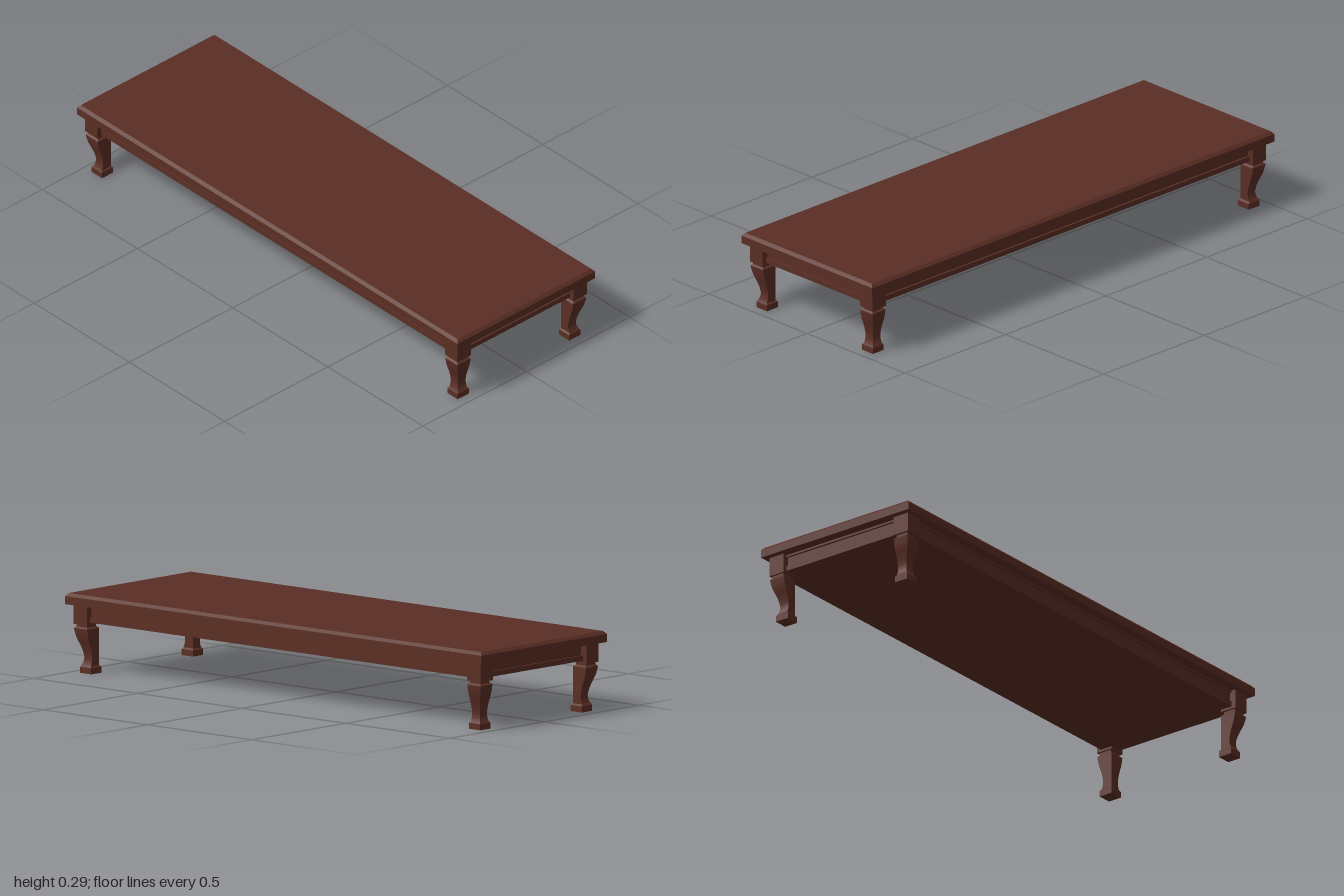
import * as THREE from 'three';
import { toCreasedNormals } from 'three/addons/utils/BufferGeometryUtils.js';

// Stack of square sections [inner, outer, y]; the square spans inner..outer in both x and z.
function squareLoft(sections) {
  const pos = [], index = [];
  for (const [a, b, y] of sections) pos.push(a, y, a, a, y, b, b, y, b, b, y, a);
  const n = sections.length;
  for (let i = 0; i < n - 1; i++) {
    for (let k = 0; k < 4; k++) {
      const p = i * 4 + k, q = i * 4 + (k + 1) % 4;
      index.push(p, q, q + 4, p, q + 4, p + 4);
    }
  }
  const t = (n - 1) * 4;
  index.push(0, 2, 1, 0, 3, 2, t, t + 1, t + 2, t, t + 2, t + 3);
  const g = new THREE.BufferGeometry();
  g.setAttribute('position', new THREE.Float32BufferAttribute(pos, 3));
  g.setIndex(index);
  return toCreasedNormals(g, 0.4);
}

// Box with chamfered top edges
function chamferedSlab(hx, hz, y0, y1, y2, inset) {
  const g = new THREE.BoxGeometry(2, 1, 2, 1, 2, 1);
  const p = g.attributes.position;
  for (let i = 0; i < p.count; i++) {
    const y = p.getY(i), d = y > 0.25 ? inset : 0;
    p.setXYZ(i, p.getX(i) * (hx - d), y > 0.25 ? y2 : y < -0.25 ? y0 : y1, p.getZ(i) * (hz - d));
  }
  return toCreasedNormals(g, 0.4);
}

export function createModel() {
  const model = new THREE.Group();
  model.name = 'lowTable';
  const wood = new THREE.MeshStandardMaterial({ color: 0x5a2e24 });
  wood.name = 'darkWood';
  const add = (parent, name, geometry) => {
    const m = new THREE.Mesh(geometry, wood);
    m.name = name;
    parent.add(m);
    return m;
  };

  // Table top
  add(model, 'tableTop', chamferedSlab(1, 0.333, 0.248, 0.277, 0.288, 0.01));

  // Apron: moulding, recessed panel and lower bead, closed underneath
  const apron = new THREE.Group();
  apron.name = 'apron';
  model.add(apron);
  for (const [name, half, y0, y1] of [
    ['upperMoulding', 0.296, 0.24, 0.248],
    ['recessedPanel', 0.288, 0.205, 0.24],
    ['lowerBead', 0.296, 0.186, 0.205],
  ]) {
    const g = new THREE.BoxGeometry((half + 0.665) * 2, y1 - y0, half * 2);
    add(apron, name, g).position.y = (y0 + y1) / 2;
  }

  // Leg parts, relative to the centre of the corner block; +x and +z point outwards
  const block = squareLoft([[-0.0325, 0.0325, 0.177], [-0.0325, 0.0325, 0.248]]);
  const neck = squareLoft([[-0.025, 0.024, 0.166], [-0.025, 0.024, 0.177]]);
  const outer = new THREE.SplineCurve([
    [0.014, 0.025], [0.008, 0.037], [0.005, 0.058], [0.011, 0.089],
    [0.024, 0.127], [0.029, 0.15], [0.031, 0.162],
  ].map(([x, y]) => new THREE.Vector2(x, y)));
  const shaft = squareLoft([
    ...outer.getPoints(24).map((p) => [-0.0325, p.x, p.y]),
    [-0.026, 0.025, 0.168],
  ]);
  const foot = squareLoft([
    [-0.038, 0.016, 0], [-0.038, 0.016, 0.022], [-0.0325, 0.012, 0.028],
  ]);

  // Each corner is the same leg turned by a quarter
  [[1, 1], [1, -1], [-1, -1], [-1, 1]].forEach(([sx, sz], i) => {
    const leg = new THREE.Group();
    leg.name = (sz > 0 ? 'front' : 'back') + (sx > 0 ? 'Left' : 'Right') + 'Leg';
    add(leg, 'cornerBlock', block);
    add(leg, 'neck', neck);
    add(leg, 'curvedShaft', shaft);
    add(leg, 'foot', foot);
    leg.position.set(sx * 0.9455, 0, sz * 0.2805);
    leg.rotation.y = i * Math.PI / 2;
    model.add(leg);
  });

  return model;
}
